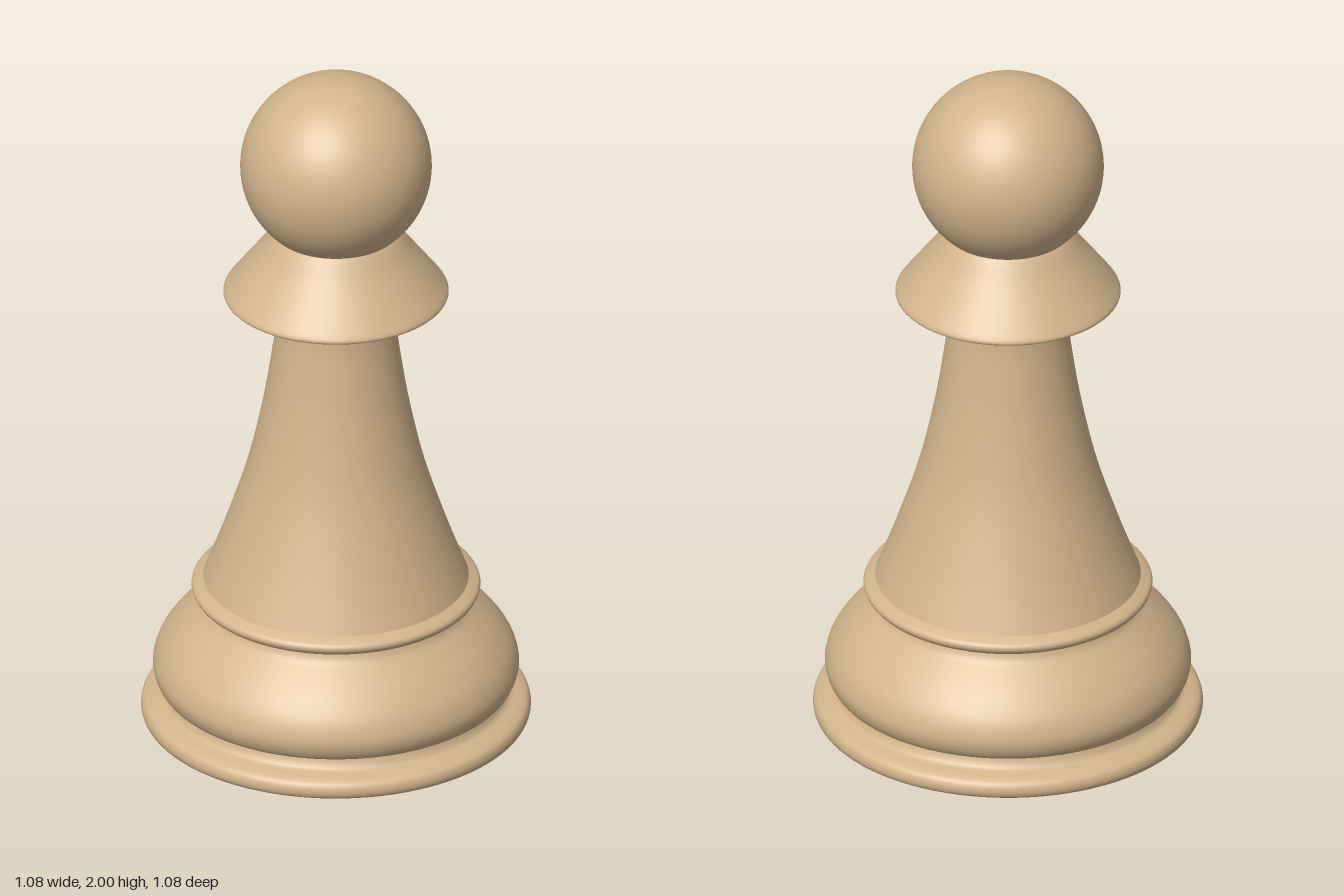
import * as THREE from 'three';

const wood = new THREE.MeshStandardMaterial({ color: 0xd2b48c });
const felt = new THREE.MeshStandardMaterial({ color: 0x1a2f28 });
const SIDES = 96;

// Turns a smooth curve through [radius, height] points, listed bottom to top
function turned(name, points, steps, material = wood) {
  const curve = new THREE.SplineCurve(points.map(([r, y]) => new THREE.Vector2(r, y)));
  const mesh = new THREE.Mesh(new THREE.LatheGeometry(curve.getPoints(steps), SIDES), material);
  mesh.name = name;
  return mesh;
}

export function createModel() {
  const model = new THREE.Group();
  model.name = 'pawn';

  // Felt pad under the foot
  const pad = new THREE.Mesh(new THREE.CylinderGeometry(0.475, 0.465, 0.028, SIDES), felt);
  pad.name = 'feltPad';
  pad.position.y = 0.014;
  model.add(pad);

  // Foot: flat underside and rounded rim
  model.add(turned('footUnderside', [[0.46, 0.024], [0.515, 0.028]], 1));
  model.add(turned('footRim', [
    [0.515, 0.028], [0.533, 0.037], [0.539, 0.055], [0.533, 0.075],
    [0.515, 0.087], [0.485, 0.097], [0.474, 0.11], [0.468, 0.126],
  ], 32));

  // Swelling body above the foot
  model.add(turned('bulge', [
    [0.468, 0.126], [0.488, 0.136], [0.503, 0.165], [0.505, 0.2], [0.488, 0.248],
    [0.45, 0.3], [0.405, 0.345], [0.373, 0.375], [0.362, 0.398],
  ], 40));

  // Thin ring at the foot of the stem
  model.add(turned('ring', [
    [0.362, 0.398], [0.388, 0.41], [0.399, 0.425], [0.396, 0.438], [0.382, 0.447], [0.366, 0.455],
  ], 24));

  // Flared stem
  model.add(turned('stem', [
    [0.368, 0.452], [0.312, 0.6], [0.247, 0.8], [0.202, 1.0], [0.175, 1.17], [0.166, 1.25], [0.165, 1.32],
  ], 40));

  // Conical collar: underside, rounded lip and sloping top
  model.add(turned('collarUnderside', [[0.15, 1.312], [0.23, 1.318], [0.295, 1.333]], 8));
  model.add(turned('collarLip', [[0.295, 1.333], [0.309, 1.338], [0.311, 1.347], [0.303, 1.36]], 10));
  model.add(turned('collarTop', [[0.303, 1.36], [0.257, 1.42], [0.212, 1.478], [0.172, 1.533], [0.15, 1.537]], 20));

  // Ball head
  const head = new THREE.Mesh(new THREE.SphereGeometry(0.265, SIDES, 48), wood);
  head.name = 'head';
  head.position.y = 1.735;
  model.add(head);

  return model;
}
